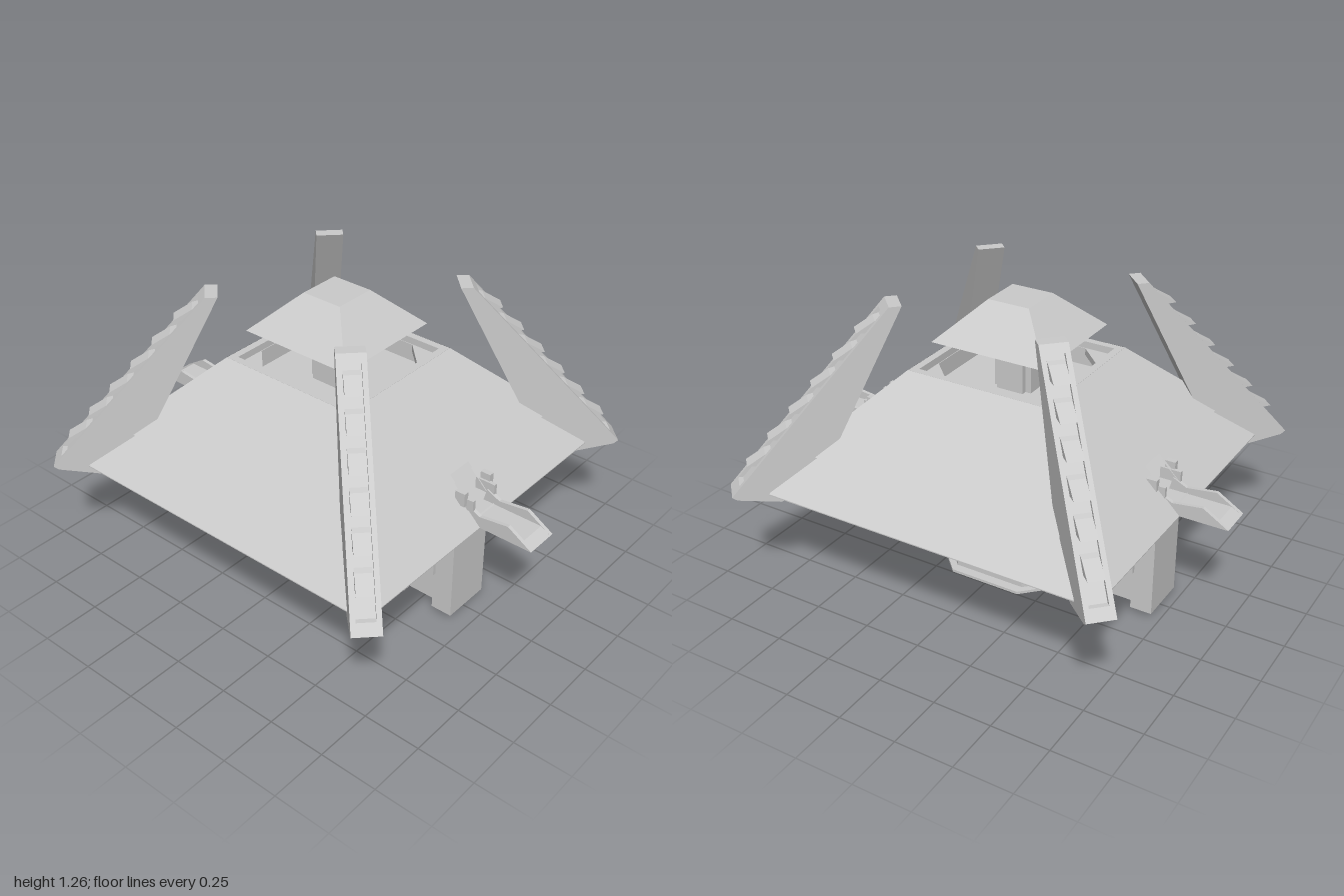
import * as THREE from 'three';

const mat = new THREE.MeshStandardMaterial({ color: 0xcccccc, flatShading: true, side: THREE.DoubleSide });
const CZ = -0.015; // the roof sits slightly behind the centre

function add(parent, name, geo) {
  const m = new THREE.Mesh(geo, mat);
  m.name = name;
  parent.add(m);
  return m;
}
const shapeOf = (pts) => new THREE.Shape(pts.map(([a, b]) => new THREE.Vector2(a, b)));

// Box given by its limits
function box(parent, name, x0, x1, y0, y1, z0, z1) {
  const g = new THREE.BoxGeometry(x1 - x0, y1 - y0, z1 - z0);
  g.translate((x0 + x1) / 2, (y0 + y1) / 2, (z0 + z1) / 2);
  return add(parent, name, g);
}
// Horizontal plate, optionally with a hole
function plate(parent, name, pts, y, thick, hole) {
  const s = shapeOf(pts);
  if (hole) s.holes.push(new THREE.Path(hole.map(([a, b]) => new THREE.Vector2(a, b))));
  const g = new THREE.ExtrudeGeometry(s, { depth: thick, bevelEnabled: false });
  g.rotateX(-Math.PI / 2).translate(0, y, 0);
  return add(parent, name, g);
}
// Profile in (along, y) extruded across a centred width
function slab(parent, name, pts, width, offset = 0) {
  const g = new THREE.ExtrudeGeometry(shapeOf(pts), { depth: width, bevelEnabled: false });
  g.translate(0, 0, offset - width / 2);
  return add(parent, name, g);
}
const octagon = (x, z, c) => [
  [x, c - z], [x, z - c], [x - c, z], [c - x, z], [-x, z - c], [-x, c - z], [c - x, -z], [x - c, -z]];
const square = (h) => [[-h, -h], [h, -h], [h, h], [-h, h]];

// Four-sided sloping block, square in plan
function frustum(parent, name, half0, half1, y0, y1) {
  const g = new THREE.CylinderGeometry(half1 * Math.SQRT2, half0 * Math.SQRT2, y1 - y0, 4);
  g.rotateY(Math.PI / 4).translate(0, (y0 + y1) / 2, 0);
  return add(parent, name, g);
}

// Sloping roof panel; the notch leaves room for the chute
const roofHalf = (y) => 0.79 - (y - 0.5) * 1.02;
function roofPanel(parent, name, y0, y1, off, notch0, notch1) {
  const a = roofHalf(y0) + off, b = roofHalf(y1) + off;
  let pts = [[-a, y0], [a, y0], [b, y1], [-b, y1]];
  let hole = null;
  if (notch1) {
    const w = 0.06;
    if (notch0 > y0) pts = [[-a, y0], [a, y0], [b, y1], [w, y1], [w, notch0], [-w, notch0], [-w, y1], [-b, y1]];
    else pts = [[-a, y0], [-w, y0], [-w, notch1], [w, notch1], [w, y0], [a, y0], [b, y1], [-b, y1]];
  }
  const g = new THREE.ShapeGeometry(shapeOf(pts));
  const p = g.attributes.position;
  for (let i = 0; i < p.count; i++) p.setZ(i, roofHalf(p.getY(i)) + off);
  g.computeVertexNormals();
  return add(parent, name, g);
}

function makeRoof() {
  const roof = new THREE.Group();
  roof.name = 'roof';
  roof.position.z = CZ;
  for (let k = 0; k < 4; k++) {
    const side = new THREE.Group();
    side.name = 'roofSide';
    side.rotation.y = k * Math.PI / 2;
    const open = k % 2 === 0;
    roofPanel(side, 'lowerRoofPanel', 0.5, 0.645, -0.01, 0.53, open ? 0.645 : 0);
    roofPanel(side, 'upperRoofPanel', 0.645, 0.96, 0, 0.645, open ? 0.67 : 0);
    roof.add(side);
  }
  plate(roof, 'underside', square(0.78), 0.498, 0.004);
  // Open well at the top of the roof
  plate(roof, 'wellRim', square(0.32), 0.85, 0.11, square(0.288));
  plate(roof, 'wellCorners', square(0.29), 0.9, 0.03, octagon(0.285, 0.285, 0.13));
  plate(roof, 'wellFloor', square(0.32), 0.84, 0.012);
  return roof;
}

function makeCap() {
  const cap = new THREE.Group();
  cap.name = 'cap';
  cap.position.z = -0.025;
  frustum(cap, 'capRoof', 0.257, 0.093, 1.075, 1.235);
  box(cap, 'neck', -0.06, 0.06, 0.85, 1.08, -0.085, 0.085);
  box(cap, 'neckCross', -0.083, 0.083, 0.85, 1.08, -0.06, 0.06);
  return cap;
}

// Corner fin: two cheeks, a recessed core and louvres on the outer edge
function makeFin() {
  const fin = new THREE.Group();
  fin.name = 'cornerFin';
  const profile = (inset) => [
    [0.475, 1.26], [0.525 - inset, 1.26], [1.19 - inset, 0.505], [1.17 - inset, 0.49],
    [1.0, 0.46], [0.85, 0.497], [1.045, 0.505], [0.755, 0.7]];
  slab(fin, 'finCore', profile(0.02), 0.08);
  for (const s of [-1, 1]) slab(fin, 'finCheek', profile(0), 0.02, s * 0.047);
  const r = (t) => 0.525 + t * 0.665, y = (t) => 1.26 - t * 0.755;
  const endRim = (t0, t1) => slab(fin, 'finEndRim',
    [[r(t0) - 0.03, y(t0)], [r(t0), y(t0)], [r(t1), y(t1)], [r(t1) - 0.03, y(t1)]], 0.08);
  endRim(0, 0.04);
  endRim(0.95, 1);
  for (let i = 0; i < 6; i++) {
    const t = 0.14 + i * 0.14;
    slab(fin, 'louvre', [
      [r(t - 0.07) - 0.025, y(t - 0.07)], [r(t - 0.06), y(t - 0.06)],
      [r(t) + 0.035, y(t)], [r(t) - 0.03, y(t) - 0.005]], 0.066);
  }
  return fin;
}

// Open chute that passes through the roof notch
function makeChute() {
  const chute = new THREE.Group();
  chute.name = 'chute';
  const along = new THREE.Group();
  along.name = 'chuteBody';
  along.rotation.y = -Math.PI / 2;
  slab(along, 'chuteFloor', [[0.55, 0.5], [1, 0.5], [0.955, 0.525], [0.55, 0.525]], 0.15);
  for (const s of [-1, 1]) {
    slab(along, 'chuteWall', [[0.68, 0.5], [1, 0.5], [0.89, 0.567], [0.76, 0.55], [0.7, 0.58]], 0.016, s * 0.067);
    box(chute, 'clip', s * 0.085 - 0.012, s * 0.085 + 0.012, 0.58, 0.64, 0.655, 0.7);
    box(chute, 'clipArm', s * 0.072 - 0.008, s * 0.072 + 0.008, 0.56, 0.61, 0.64, 0.73);
  }
  chute.add(along);
  return chute;
}

function makeUndercarriage() {
  const u = new THREE.Group();
  u.name = 'undercarriage';
  const oct = (name, x, z, c, y, t) => { plate(u, name, octagon(x, z, c), y, t).position.z = -0.02; };
  // Central column and plates
  oct('column', 0.22, 0.22, 0.11, 0.25, 0.25);
  oct('lowerHousing', 0.245, 0.21, 0.05, 0.035, 0.21);
  oct('middlePlate', 0.305, 0.33, 0.14, 0.245, 0.025);
  oct('basePlate', 0.285, 0.25, 0.09, 0.03, 0.012);
  add(u, 'foot', new THREE.CylinderGeometry(0.03, 0.025, 0.035, 8)).position.set(0, 0.0175, -0.02);
  // Side boxes
  box(u, 'leftBox', 0.18, 0.42, 0.25, 0.425, -0.2, 0.16);
  box(u, 'rightBox', -0.415, -0.18, 0.255, 0.415, -0.2, 0.16);
  // Front and back end blocks with stepped, panelled flanks
  for (const s of [1, -1]) {
    const e = new THREE.Group();
    e.name = s > 0 ? 'frontArm' : 'backArm';
    e.rotation.y = s > 0 ? 0 : Math.PI;
    e.position.z = CZ - 0.005;
    box(e, 'endBlock', -0.11, 0.11, 0.022, 0.442, 0.6, 0.695);
    box(e, 'armCore', -0.075, 0.075, 0.03, 0.438, 0.15, 0.61);
    for (const m of [-1, 1]) {
      const lim = (a, b) => (m > 0 ? [a, b] : [-b, -a]);
      box(e, 'upperPanel', ...lim(0.07, 0.095), 0.28, 0.442, 0.22, 0.45);
      box(e, 'lowerPanel', ...lim(0.07, 0.105), 0.018, 0.2, 0.22, 0.45);
      box(e, 'rail', ...lim(0.07, 0.125), 0.2, 0.265, 0.2, 0.61);
    }
    u.add(e);
  }
  return u;
}

export function createModel() {
  const model = new THREE.Group();
  model.name = 'pavilion';
  model.add(makeRoof(), makeCap(), makeUndercarriage());
  for (let k = 0; k < 4; k++) {
    const fin = makeFin();
    fin.position.z = CZ;
    fin.rotation.y = Math.PI / 4 + k * Math.PI / 2;
    model.add(fin);
  }
  for (let k = 0; k < 2; k++) {
    const chute = makeChute();
    chute.rotation.y = k * Math.PI;
    model.add(chute);
  }
  return model;
}
